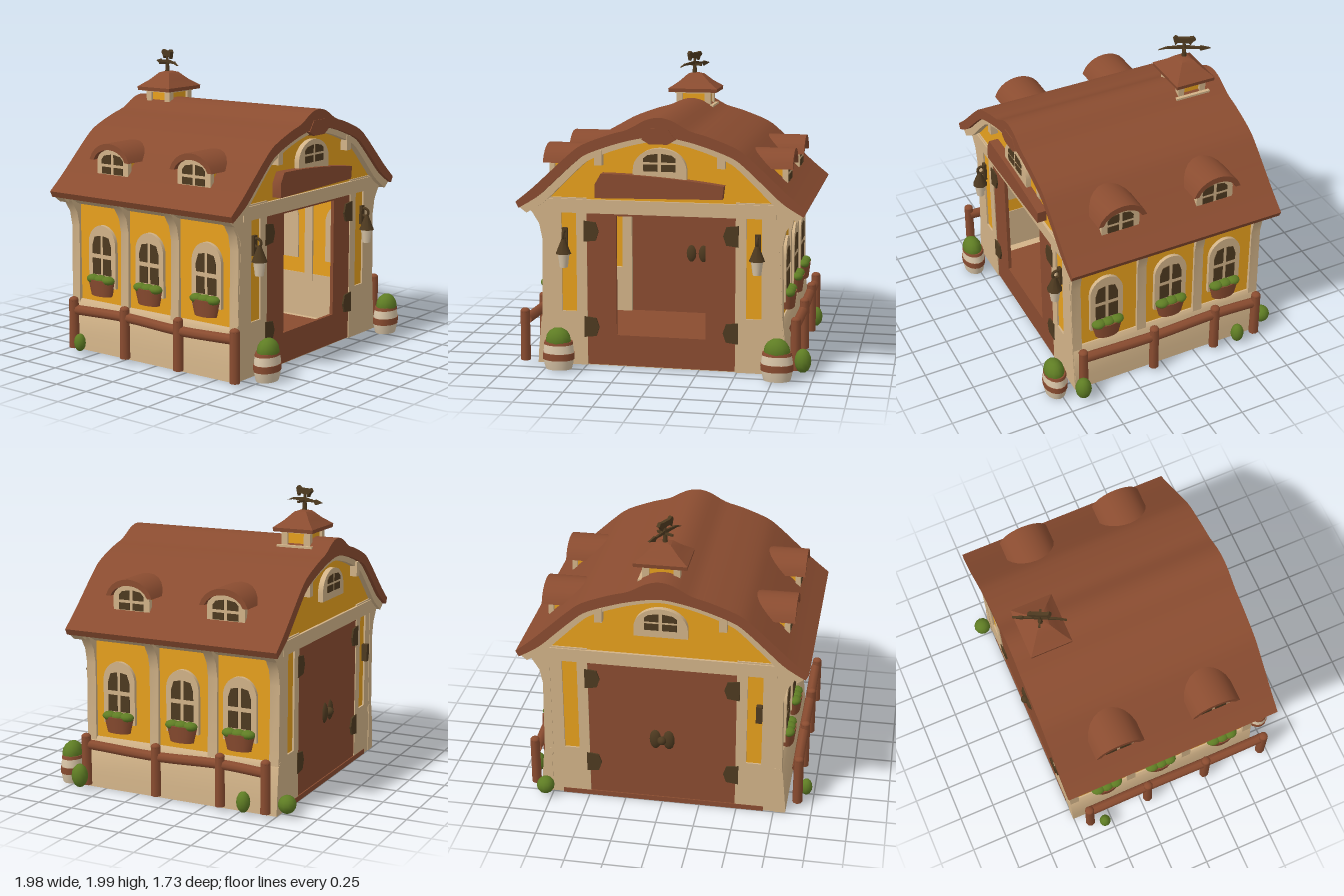
import * as THREE from 'three';
import { toCreasedNormals } from 'three/addons/utils/BufferGeometryUtils.js';

const mat = (name, color) => {
  const m = new THREE.MeshStandardMaterial({ color, side: THREE.DoubleSide });
  m.name = name;
  return m;
};

export function createModel() {
  const barn = new THREE.Group();
  barn.name = 'barn';
  const brown = mat('brown wood', 0x8a4c30);
  const cream = mat('cream plaster', 0xd2b388);
  const yellow = mat('yellow wall', 0xeba31e);
  const dark = mat('dark iron and glass', 0x4e3a20);
  const green = mat('green leaves', 0x5f7d24);
  const pale = mat('pale staves', 0xdac6a8);

  // ---- helpers ----
  const add = (parent, name, geo, m, x = 0, y = 0, z = 0) => {
    const mesh = new THREE.Mesh(geo, m);
    mesh.name = name;
    mesh.position.set(x, y, z);
    parent.add(mesh);
    return mesh;
  };
  const group = (name, x = 0, y = 0, z = 0, ry = 0, parent = barn) => {
    const g = new THREE.Group();
    g.name = name;
    g.position.set(x, y, z);
    g.rotation.y = ry;
    parent.add(g);
    return g;
  };
  // box from its min and max corners
  const box = (parent, name, m, x0, x1, y0, y1, z0, z1) =>
    add(parent, name, new THREE.BoxGeometry(x1 - x0, y1 - y0, z1 - z0), m, (x0 + x1) / 2, (y0 + y1) / 2, (z0 + z1) / 2);
  const poly = (pts) => new THREE.Shape(pts.map((p) => new THREE.Vector2(p[0], p[1])));
  const rect = (x0, x1, y0, y1) => [[x0, y0], [x1, y0], [x1, y1], [x0, y1]];
  // shape extruded from z0 to z1
  const prism = (parent, name, shape, m, z0, z1) => {
    const geo = new THREE.ExtrudeGeometry(shape, { depth: z1 - z0, bevelEnabled: false, curveSegments: 10 });
    return add(parent, name, toCreasedNormals(geo, 0.6), m, 0, 0, z0);
  };
  const flip = (pts, s) => pts.map(([x, y]) => [x * s, y]);
  const blob = (parent, name, m, x, y, z, rx, ry, rz) =>
    add(parent, name, new THREE.SphereGeometry(1, 12, 8), m, x, y, z).scale.set(rx, ry, rz);
  // straight sides below, half ellipse on top
  const arch = (w, y0, ySpring, yTop) => {
    const s = new THREE.Shape();
    s.moveTo(-w / 2, y0);
    s.lineTo(w / 2, y0);
    s.lineTo(w / 2, ySpring);
    s.absellipse(0, ySpring, w / 2, yTop - ySpring, 0, Math.PI, false);
    return s;
  };
  // two rows of panes, upper row rounded at the outer corner
  const panes = (g, w, y0, y1, y2, y3, z) => {
    for (const s of [-1, 1]) {
      const a = 0.012 * s, b = (w / 2) * s, k = y3 - (y3 - y2) * 0.55;
      prism(g, 'lowerPane', poly(rect(a, b, y0, y1)), dark, z, z + 0.005);
      prism(g, 'upperPane', poly([[a, y2], [b, y2], [b, k], [b * 0.75, y3 - 0.01], [a, y3]]), dark, z, z + 0.005);
    }
  };

  // ---- roof ----
  const smooth = (half) => {
    const right = half.map(([x, y]) => new THREE.Vector2(x, y));
    const left = half.slice(1).reverse().map(([x, y]) => new THREE.Vector2(-x, y));
    return new THREE.SplineCurve([...left, ...right]).getPoints(48).map((p) => [p.x, p.y]);
  };
  const outer = smooth([[0, 1.67], [0.09, 1.65], [0.2, 1.59], [0.32, 1.555], [0.5, 1.485], [0.6, 1.41], [0.72, 1.3], [0.84, 1.19], [0.95, 1.1]]);
  const inner = smooth([[0, 1.55], [0.12, 1.535], [0.28, 1.495], [0.47, 1.425], [0.56, 1.36], [0.69, 1.24], [0.8, 1.14], [0.93, 1.06]]);
  prism(barn, 'roof', poly([...outer, ...[...inner].reverse()]), brown, -0.8, 0.71);
  const rake = [...inner, ...inner.map(([x, y]) => [x * 0.95, y - 0.035]).reverse()];
  prism(barn, 'frontRake', poly(rake), cream, 0.6, 0.685);
  prism(barn, 'backRake', poly(rake), cream, -0.775, -0.7);
  prism(barn, 'ridgeEnd', poly([[-0.11, 1.53], [-0.06, 1.5], [0.06, 1.5], [0.11, 1.53], [0.06, 1.6], [-0.06, 1.6]]), brown, 0.62, 0.715);

  // ---- floor ----
  box(barn, 'floorEdge', cream, -0.81, 0.81, 0.01, 0.03, -0.75, 0.64);
  box(barn, 'floor', brown, -0.68, 0.68, 0.005, 0.04, -0.752, 0.62);

  // ---- end walls ----
  const postOutline = [[0.49, 0.01], [0.83, 0.01], [0.8, 0.3], [0.785, 0.6], [0.77, 0.9], [0.82, 1], [0.93, 1.08], [0.8, 1.13], [0.49, 1.13]];
  const gableOutline = [[-0.8, 1.1], ...inner.filter(([, y]) => y > 1.15), [0.8, 1.1]];
  const endWall = (name, z, ry, open) => {
    const g = group(name, 0, 0, z, ry);
    for (const s of [-1, 1]) {
      const post = poly(flip(postOutline, s));
      post.holes.push(new THREE.Path(flip(rect(0.56, 0.66, 0.37, 1.03), s).map((p) => new THREE.Vector2(...p))));
      prism(g, 'cornerPost', post, cream, -0.06, 0);
      prism(g, 'yellowPanel', poly(flip(rect(0.55, 0.67, 0.36, 1.04), s)), yellow, -0.03, -0.012);
      for (const y of [0.27, 0.91])
        prism(g, 'hinge', poly(flip([[0.51, y - 0.07], [0.43, y - 0.06], [0.41, y], [0.43, y + 0.06], [0.51, y + 0.07]], s)), dark, -0.012, 0.006);
      box(g, 'rafterEnd', cream, s * 0.4 - 0.025, s * 0.4 + 0.025, 1.35, 1.45, -0.02, 0.04);
    }
    const door = poly(rect(-0.5, 0.5, 0.015, 1.035));
    if (open) door.holes.push(new THREE.Path(rect(-0.295, 0.295, 0.22, 1.015).map((p) => new THREE.Vector2(...p))));
    prism(g, 'door', door, brown, -0.03, -0.006);
    box(g, 'lintel', cream, -0.75, 0.75, 1.03, 1.12, -0.06, 0.008);
    prism(g, 'gable', poly(gableOutline), yellow, -0.03, -0.01);
    // half-round gable window
    const frame = prism(g, 'gableWindow', arch(0.35, 0, 0.06, 0.2), cream, -0.04, 0.025);
    frame.position.y = 1.27;
    const glass = group('gableGlass', 0, 1.27, 0, 0, g);
    panes(glass, 0.21, 0.05, 0.095, 0.11, 0.165, 0.025);
    return g;
  };
  const front = endWall('frontWall', 0.65, 0, true);
  const back = endWall('backWall', -0.75, Math.PI, false);
  // plank awning over the front door
  const awning = new THREE.Shape();
  awning.moveTo(-0.42, 1.14);
  awning.lineTo(0.41, 1.155);
  awning.lineTo(0.42, 1.24);
  awning.quadraticCurveTo(0, 1.3, -0.38, 1.3);
  awning.lineTo(-0.42, 1.23);
  prism(front, 'doorAwning', awning, brown, -0.01, 0.055);
  // double latch through the back door
  for (const s of [-1, 1]) blob(back, 'latch', dark, s * 0.045, 0.49, -0.015, 0.042, 0.075, 0.03);
  blob(back, 'latchKnob', dark, 0, 0.49, 0.01, 0.03, 0.03, 0.03);
  box(back, 'lampBracket', dark, 0.62, 0.66, 0.7, 0.82, -0.01, 0.03);

  // ---- lanterns ----
  for (const s of [-1, 1]) {
    const g = group('lantern', s * 0.635, 0, 0.695);
    add(g, 'lanternCap', new THREE.CylinderGeometry(0.012, 0.052, 0.1, 8), dark, 0, 0.815, 0);
    add(g, 'lanternGlass', new THREE.CylinderGeometry(0.04, 0.028, 0.09, 8), pale, 0, 0.72, 0);
    add(g, 'lanternHook', new THREE.TorusGeometry(0.028, 0.01, 6, 12), dark, 0, 0.885, -0.015).rotation.y = Math.PI / 2;
    box(g, 'lanternBracket', dark, -0.018, 0.018, 0.8, 0.93, -0.05, -0.03);
  }

  // ---- side walls ----
  const flare = [[0.8, 0.3], [0.79, 0.85], [0.81, 0.95], [0.86, 1.03], [0.92, 1.08], [0.84, 1.11], [0.74, 1.11], [0.74, 0.3]];
  const cornice = [[0.77, 1], [0.8, 1.01], [0.86, 1.045], [0.92, 1.08], [0.84, 1.11], [0.74, 1.11], [0.74, 1]];
  const plinth = [[0.75, 0.01], [0.83, 0.01], [0.825, 0.1], [0.805, 0.32], [0.785, 0.35], [0.75, 0.35]];
  for (const s of [-1, 1]) {
    prism(barn, 'plinth', poly(flip(plinth, s)), cream, -0.755, 0.645);
    prism(barn, 'sidePanel', poly(flip(rect(0.755, 0.775, 0.33, 1.03), s)), yellow, -0.74, 0.64);
    prism(barn, 'cornice', poly(flip(cornice, s)), cream, -0.74, 0.64);
    for (const z of [0.615, 0.14, -0.285, -0.72]) prism(barn, 'sidePost', poly(flip(flare, s)), cream, z - 0.033, z + 0.033);

    // arched windows with planters
    for (const z of [0.4, -0.07, -0.48]) {
      const g = group('sideWindow', s * 0.775, 0, z, (s * Math.PI) / 2);
      prism(g, 'windowFrame', arch(0.235, 0.46, 0.75, 0.88), cream, -0.03, 0.025);
      panes(g, 0.16, 0.545, 0.655, 0.685, 0.81, 0.025);
      const pot = add(g, 'planter', new THREE.CylinderGeometry(0.112, 0.085, 0.11, 12), brown, 0, 0.46, 0.03);
      pot.scale.z = 0.5;
      for (const x of [-0.065, 0, 0.065]) blob(g, 'planterLeaves', green, x, 0.515, 0.04, 0.05, 0.03, 0.042);
    }

    // dormers
    for (const z of [0.3, -0.38]) {
      const g = group('dormer', s * 0.48, 0, z, (s * Math.PI) / 2);
      box(g, 'dormerBody', yellow, -0.115, 0.115, 1.19, 1.35, 0, 0.3);
      prism(g, 'dormerFrame', arch(0.265, 1.2, 1.31, 1.41), cream, 0.28, 0.315);
      panes(g, 0.18, 1.235, 1.28, 1.3, 1.365, 0.315);
      const hood = new THREE.Shape();
      hood.moveTo(0.17, 1.325);
      hood.bezierCurveTo(0.12, 1.48, -0.12, 1.48, -0.17, 1.325);
      hood.lineTo(-0.135, 1.325);
      hood.bezierCurveTo(-0.095, 1.425, 0.095, 1.425, 0.135, 1.325);
      prism(g, 'dormerRoof', hood, brown, 0, 0.35);
    }

    // fence
    const fx = s > 0 ? 0.88 : -0.9;
    const posts = s > 0 ? [0.61, 0.085, -0.38, -0.7] : [0.7, 0.25, -0.2, -0.65];
    const fence = group('fence', fx);
    for (const z of posts) {
      add(fence, 'fencePost', new THREE.CylinderGeometry(0.032, 0.034, 0.33, 8), brown, 0, 0.205, z);
      blob(fence, 'fencePostTop', brown, 0, 0.37, z, 0.032, 0.022, 0.032);
    }
    const path = new THREE.CatmullRomCurve3(posts.map((z, i) => new THREE.Vector3(-s * 0.01, i % 2 ? 0.3 : 0.315, z)));
    add(fence, 'fenceRail', new THREE.TubeGeometry(path, 24, 0.034, 8), brown);
  }

  // ---- cupola ----
  const cupola = group('cupola', 0.015, 0, -0.56);
  box(cupola, 'cupolaBase', cream, -0.145, 0.145, 1.54, 1.625, -0.125, 0.125);
  box(cupola, 'cupolaCore', yellow, -0.105, 0.105, 1.6, 1.74, -0.085, 0.085);
  for (const x of [-0.1, 0.1]) for (const z of [-0.08, 0.08])
    box(cupola, 'cupolaPost', cream, x - 0.022, x + 0.022, 1.6, 1.74, z - 0.022, z + 0.022);
  box(cupola, 'cupolaTrim', cream, -0.13, 0.13, 1.705, 1.735, -0.11, 0.11);
  const capPts = [[0, 1.715], [0.98, 1.715], [1, 1.74], [0.62, 1.785], [0.3, 1.835], [0.1, 1.845], [0, 1.845]];
  const cap = new THREE.LatheGeometry(capPts.map(([r, y]) => new THREE.Vector2(r, y)), 4);
  cap.rotateY(Math.PI / 4).scale(0.247, 1, 0.2);
  add(cupola, 'cupolaRoof', toCreasedNormals(cap, 0.5), brown);

  // ---- weathervane ----
  const vane = group('weathervane', 0.005, 0, -0.565, 1.12);
  add(vane, 'vanePole', new THREE.CylinderGeometry(0.008, 0.018, 0.12, 8), dark, 0, 1.89, 0);
  prism(vane, 'vaneArrow', poly([[-0.17, 1.89], [-0.12, 1.9], [0.1, 1.9], [0.11, 1.885], [0.175, 1.905], [0.11, 1.92], [0.1, 1.912], [0, 1.925], [-0.12, 1.912]]), dark, -0.007, 0.007);
  prism(vane, 'vaneFigure', poly([[-0.06, 1.93], [-0.045, 1.95], [0.03, 1.945], [0.04, 1.93], [0.055, 1.955], [0.075, 1.97], [0.06, 1.99], [0.03, 1.985], [-0.04, 1.985], [-0.06, 1.998], [-0.075, 1.98]]), dark, -0.012, 0.012);
  box(vane, 'vaneCrossbar', dark, -0.007, 0.007, 1.893, 1.907, -0.06, 0.06);

  // ---- barrels with shrubs ----
  const barrel = (x, z) => {
    const g = group('barrel', x, 0, z);
    const r = (y) => 0.103 - 1.8 * (y - 0.11) ** 2;
    const bands = [[0.015, 0.08, pale], [0.08, 0.125, brown], [0.125, 0.18, pale], [0.18, 0.2, brown]];
    for (const [a, b, m] of bands) {
      const e = m === brown ? 0.004 : 0;
      const pts = [[0, a], [r(a) + e, a], [r((a + b) / 2) + e, (a + b) / 2], [r(b) + e, b], [0, b]];
      const geo = new THREE.LatheGeometry(pts.map(([u, v]) => new THREE.Vector2(u, v)), 16);
      add(g, 'barrelBand', toCreasedNormals(geo, 0.6), m).scale.z = 0.75;
    }
    blob(g, 'barrelShrub', green, 0, 0.205, 0.005, 0.085, 0.085, 0.068);
  };
  barrel(-0.655, 0.775);
  barrel(0.78, 0.775);

  // ---- bushes ----
  const bushes = [[0.93, 0.11, 0.635, 0.055, 0.08], [0.9, 0.1, -0.555, 0.045, 0.07], [0.79, 0.09, -0.81, 0.06, 0.06], [-0.95, 0.1, -0.555, 0.04, 0.06]];
  for (const [x, y, z, r, h] of bushes) blob(barn, 'bush', green, x, y, z, r, h, r);

  return barn;
}
